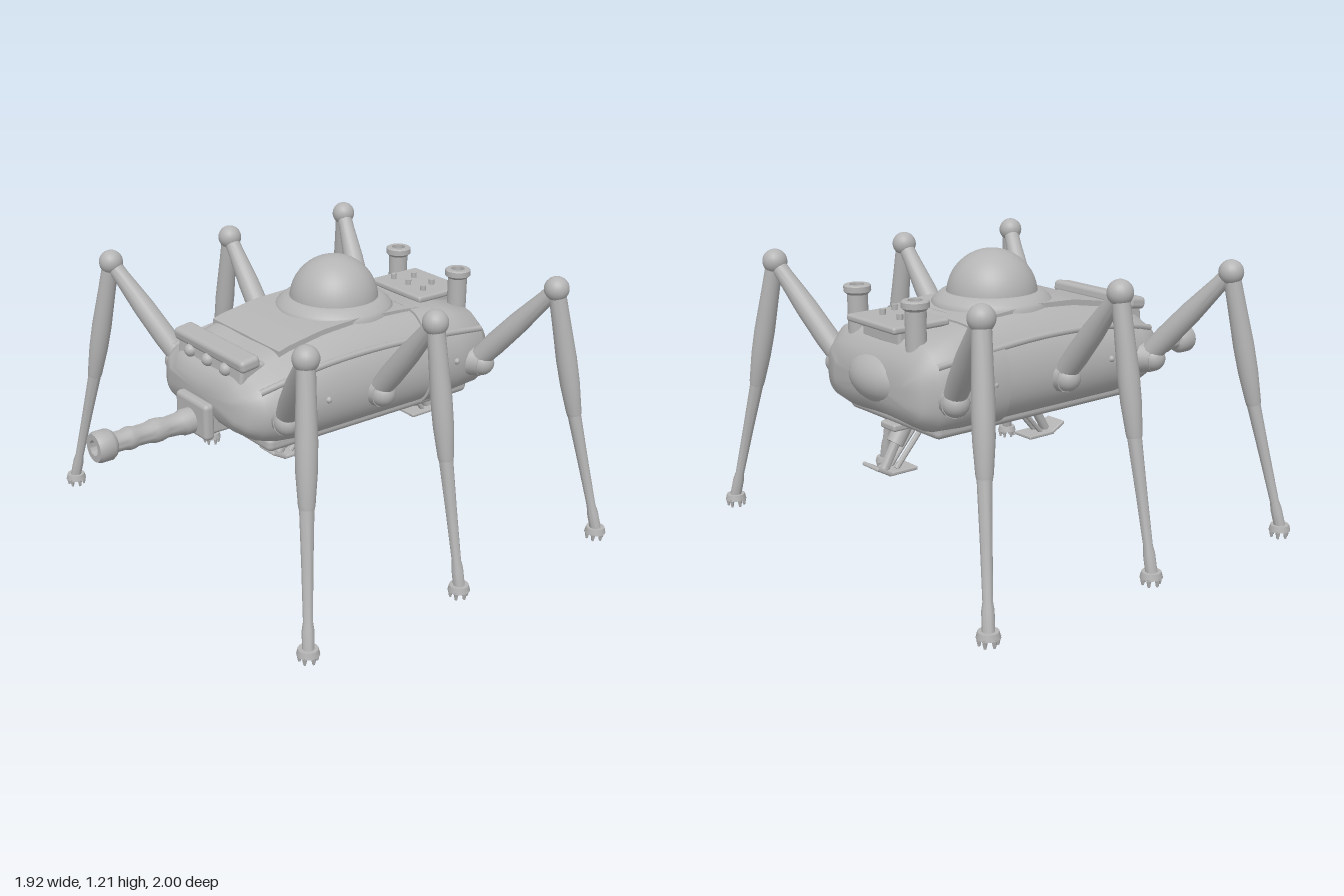
import * as THREE from 'three';
import { toCreasedNormals } from 'three/addons/utils/BufferGeometryUtils.js';
import { RoundedBoxGeometry } from 'three/addons/geometries/RoundedBoxGeometry.js';

const metal = new THREE.MeshStandardMaterial({ color: 0xb4b4b4 });
metal.name = 'grey metal';
const V = (x, y, z) => new THREE.Vector3(x, y, z);

function add(parent, name, geo, x = 0, y = 0, z = 0) {
  const m = new THREE.Mesh(geo, metal);
  m.name = name;
  m.position.set(x, y, z);
  parent.add(m);
  return m;
}
const rbox = (w, h, d, r = 0.015) => new RoundedBoxGeometry(w, h, d, 3, r);

// Turned part: profile of [radius, distance] running from a towards b
function turned(parent, name, a, b, profile, sides = 20) {
  const pts = profile.map(([r, t]) => new THREE.Vector2(r, t));
  const geo = toCreasedNormals(new THREE.LatheGeometry(pts, sides), 0.6);
  const m = add(parent, name, geo, a.x, a.y, a.z);
  m.quaternion.setFromUnitVectors(V(0, 1, 0), b.clone().sub(a).normalize());
  return m;
}
function rod(parent, name, a, b, r0, r1 = r0, sides = 16) {
  const l = a.distanceTo(b);
  return turned(parent, name, a, b, [[0, 0], [r0, 0], [r1, l], [0, l]], sides);
}

// Hull stations: z, roof height, roof half width, widest half width, floor height, floor half width
const STATIONS = [
  [-0.82, 0.80, 0.22, 0.25, 0.69, 0.20],
  [-0.80, 0.87, 0.28, 0.33, 0.64, 0.27],
  [-0.74, 0.93, 0.30, 0.375, 0.60, 0.31],
  [-0.60, 0.96, 0.30, 0.39, 0.59, 0.31],
  [-0.40, 0.985, 0.28, 0.39, 0.59, 0.31],
  [-0.15, 1.0, 0.26, 0.39, 0.59, 0.31],
  [0.05, 0.99, 0.25, 0.39, 0.59, 0.31],
  [0.22, 0.96, 0.25, 0.39, 0.59, 0.31],
  [0.34, 0.925, 0.25, 0.385, 0.60, 0.30],
  [0.42, 0.89, 0.25, 0.36, 0.62, 0.28],
  [0.47, 0.855, 0.24, 0.31, 0.65, 0.25],
  [0.50, 0.81, 0.21, 0.24, 0.69, 0.20],
];
function stationAt(z) {
  let i = 0;
  while (i < STATIONS.length - 2 && STATIONS[i + 1][0] < z) i++;
  const [a, b] = [STATIONS[i], STATIONS[i + 1]];
  const t = (z - a[0]) / (b[0] - a[0]);
  return a.map((v, k) => v + (b[k] - v) * t);
}
function ring([z, top, th, mid, bot, bh], grow = 0) {
  const half = [
    [th * 0.8, top], [th, top - 0.02], [th + (mid - th) * 0.72, 0.76 + (top - 0.76) * 0.5],
    [mid, 0.75], [(mid + bh) / 2 + 0.02, (0.75 + bot) / 2 - 0.02], [bh, bot],
  ].map(([x, y]) => [x + grow, y + grow * Math.sign(y - 0.72)]);
  const pts = [V(0, top + grow, z), ...half.map(([x, y]) => V(x, y, z)),
    V(0, bot - grow, z), ...half.reverse().map(([x, y]) => V(-x, y, z))];
  return new THREE.CatmullRomCurve3(pts, true, 'centripetal').getPoints(56).slice(0, -1);
}
// Skin a row of rings and close both ends
function loft(rings) {
  const n = rings[0].length, idx = [], pos = rings.flat();
  for (let i = 0; i < rings.length - 1; i++) for (let j = 0; j < n; j++) {
    const k = (j + 1) % n, a = i * n + j, b = i * n + k;
    idx.push(a, a + n, b + n, a, b + n, b);
  }
  const last = (rings.length - 1) * n, c = pos.length;
  for (const r of [rings[0], rings.at(-1)]) pos.push(V(0, 0.75, r[0].z));
  for (let j = 0; j < n; j++) {
    const k = (j + 1) % n;
    idx.push(c, j, k, c + 1, last + k, last + j);
  }
  const g = new THREE.BufferGeometry().setFromPoints(pos);
  g.setIndex(idx);
  return toCreasedNormals(g, 0.8);
}

function buildHull(g) {
  add(g, 'hull', loft(STATIONS.map(s => ring(s))));
  add(g, 'rearStrap', loft([-0.52, -0.47, -0.42].map(z => ring(stationAt(z), 0.008))));
  add(g, 'basePlate', rbox(0.62, 0.065, 1.09, 0.025), 0, 0.588, -0.172);
  const bulge = add(g, 'rearBulge', new THREE.SphereGeometry(1, 28, 18), 0, 0.76, -0.72);
  bulge.scale.set(0.21, 0.12, 0.14);
  // Raised roof panel that follows the roof curve
  const deck = new THREE.BoxGeometry(0.48, 0.03, 0.74, 1, 1, 16);
  const p = deck.attributes.position;
  for (let i = 0; i < p.count; i++) {
    const z = p.getZ(i) - 0.1;
    p.setXYZ(i, p.getX(i), p.getY(i) + stationAt(z)[1] - 0.005, z);
  }
  add(g, 'roofPanel', toCreasedNormals(deck, 0.6));
  for (const s of [-1, 1]) {
    const path = [-0.74, -0.5, -0.2, 0.1, 0.3, 0.42].map(z => {
      const [, top, th, mid] = stationAt(z);
      return V(s * (th + (mid - th) * 0.62), 0.76 + (top - 0.76) * 0.6, z);
    });
    add(g, 'sideRail', new THREE.TubeGeometry(new THREE.CatmullRomCurve3(path), 40, 0.014, 8));
    for (const z of [-0.57, -0.49, 0.13])
      add(g, 'sideStud', new THREE.SphereGeometry(0.014, 10, 8), s * 0.388, 0.76, z);
  }
  // Front lamps under a brow
  add(g, 'frontPanel', rbox(0.47, 0.14, 0.12), 0, 0.86, 0.395).rotation.x = -0.12;
  add(g, 'brow', rbox(0.51, 0.055, 0.095, 0.02), 0, 0.935, 0.415).rotation.x = 0.15;
  for (const x of [-0.13, 0, 0.13])
    add(g, 'frontLamp', new THREE.SphereGeometry(0.028, 16, 12), x, 0.89, 0.455);
}

function buildTop(g) {
  // Dome on its flange
  turned(g, 'domeFlange', V(0, 0.95, -0.195), V(0, 2, -0.195),
    [[0.255, 0], [0.255, 0.045], [0.245, 0.06], [0.215, 0.085], [0.195, 0.09], [0.18, 0.08]], 48);
  add(g, 'dome', new THREE.SphereGeometry(0.192, 40, 24), 0, 1.02, -0.195);
  // Rear deck with pegs and exhaust stacks
  add(g, 'rearDeck', rbox(0.335, 0.03, 0.27, 0.012), 0, 0.98, -0.675);
  add(g, 'deckMount', rbox(0.26, 0.08, 0.2), 0, 0.94, -0.66);
  for (const [x, z] of [[-0.1, -0.62], [0, -0.62], [0.1, -0.62], [-0.06, -0.705], [0.06, -0.705]])
    rod(g, 'deckPeg', V(x, 0.98, z), V(x, 1.018, z), 0.013, 0.013, 10);
  for (const x of [-0.2, 0.2])
    turned(g, 'exhaustStack', V(x, 0.82, -0.73), V(x, 2, -0.73),
      [[0.042, 0], [0.042, 0.24], [0.056, 0.252], [0.056, 0.275], [0.05, 0.28], [0.03, 0.28], [0.03, 0.2], [0, 0.2]], 24);
}

function buildGun(g) {
  add(g, 'gunHousing', rbox(0.18, 0.13, 0.24), 0, 0.66, 0.41);
  add(g, 'gunMount', rbox(0.23, 0.16, 0.05, 0.02), 0, 0.662, 0.525);
  turned(g, 'gunBarrel', V(0, 0.643, 0.53), V(0, 0.643, 2), [
    [0.055, 0], [0.055, 0.06], [0.048, 0.075], [0.043, 0.14], [0.05, 0.17], [0.05, 0.2], [0.043, 0.23],
    [0.042, 0.28], [0.048, 0.3], [0.048, 0.32], [0.042, 0.34], [0.042, 0.38], [0.056, 0.39], [0.065, 0.405],
    [0.065, 0.455], [0.058, 0.47], [0.032, 0.47], [0.032, 0.4], [0, 0.4]], 28);
}

function buildLeg(g, s, name, hipZ, kneeZ, footZ) {
  const leg = new THREE.Group();
  leg.name = name;
  g.add(leg);
  const hip = V(s * 0.38, 0.73, hipZ), knee = V(s * 0.71, 1.13, kneeZ);
  const shin = V(s * 0.805, 0.575, kneeZ + (footZ - kneeZ) * 0.47), ankle = V(s * 0.915, 0.05, footZ);
  // Hip socket and ball
  const out = V(s * 0.33, 0, kneeZ - hipZ).normalize();
  rod(leg, 'hipSocket', hip.clone().addScaledVector(out, -0.07), hip.clone().addScaledVector(out, 0.035), 0.072, 0.06, 12);
  add(leg, 'hipBall', new THREE.SphereGeometry(0.056, 18, 14), ...hip.clone().addScaledVector(out, 0.03).toArray());
  // Thigh, knee and two-stage shin
  const l = hip.distanceTo(knee);
  turned(leg, 'thigh', hip, knee, [[0.045, 0], [0.05, l * 0.25], [0.047, l * 0.55], [0.036, l * 0.85], [0.034, l]]);
  add(leg, 'knee', new THREE.SphereGeometry(0.053, 20, 16), ...knee.toArray());
  const u = knee.distanceTo(shin), w = shin.distanceTo(ankle);
  turned(leg, 'upperShin', knee, shin,
    [[0.036, 0], [0.039, u * 0.25], [0.044, u * 0.55], [0.042, u * 0.75], [0.033, u * 0.97], [0.03, u], [0, u]]);
  turned(leg, 'lowerShin', shin, ankle,
    [[0.029, -0.01], [0.027, w * 0.12], [0.023, w * 0.4], [0.019, w * 0.8], [0.024, w * 0.86], [0.024, w], [0, w]]);
  // Foot disc with claws
  rod(leg, 'footDisc', V(ankle.x, 0.03, footZ), V(ankle.x, 0.055, footZ), 0.046, 0.04);
  for (let i = 0; i < 6; i++) {
    const a = i * Math.PI / 3, x = ankle.x + Math.cos(a) * 0.034, z = footZ + Math.sin(a) * 0.034;
    rod(leg, 'claw', V(x, 0.035, z), V(x, 0, z), 0.012, 0.005, 8);
  }
}

// Folding strut under the belly; d is the way its toe points
function buildStrut(g, z, d, name) {
  const strut = new THREE.Group();
  strut.name = name;
  g.add(strut);
  const at = (y, dz, x = 0) => V(x, y, z + d * dz);
  add(strut, 'strutBracket', rbox(0.1, 0.03, 0.14, 0.01), 0, 0.548, z + d * 0.01);
  rod(strut, 'strutSleeve', at(0.555, -0.015), at(0.47, 0.045), 0.037);
  rod(strut, 'strutPiston', at(0.5, 0.025), at(0.37, 0.1), 0.02);
  for (const x of [-0.022, 0.022])
    rod(strut, 'strutBrace', at(0.55, -0.105, x), at(0.37, 0.055, x), 0.011, 0.011, 8);
  add(strut, 'strutFoot', rbox(0.11, 0.016, 0.14, 0.006), 0, 0.362, z + d * 0.04);
  add(strut, 'strutToe', rbox(0.11, 0.016, 0.08, 0.006), 0, 0.38, z + d * 0.133).rotation.x = -d * 0.5;
}

export function createModel() {
  const g = new THREE.Group();
  g.name = 'walker';
  buildHull(g);
  buildTop(g);
  buildGun(g);
  for (const [s, side] of [[1, 'left'], [-1, 'right']]) {
    buildLeg(g, s, side + 'FrontLeg', 0.34, 0.49, 0.63);
    buildLeg(g, s, side + 'MiddleLeg', -0.135, -0.138, -0.14);
    buildLeg(g, s, side + 'RearLeg', -0.69, -0.81, -0.953);
  }
  buildStrut(g, 0, 1, 'frontStrut');
  buildStrut(g, -0.66, -1, 'rearStrut');
  return g;
}
